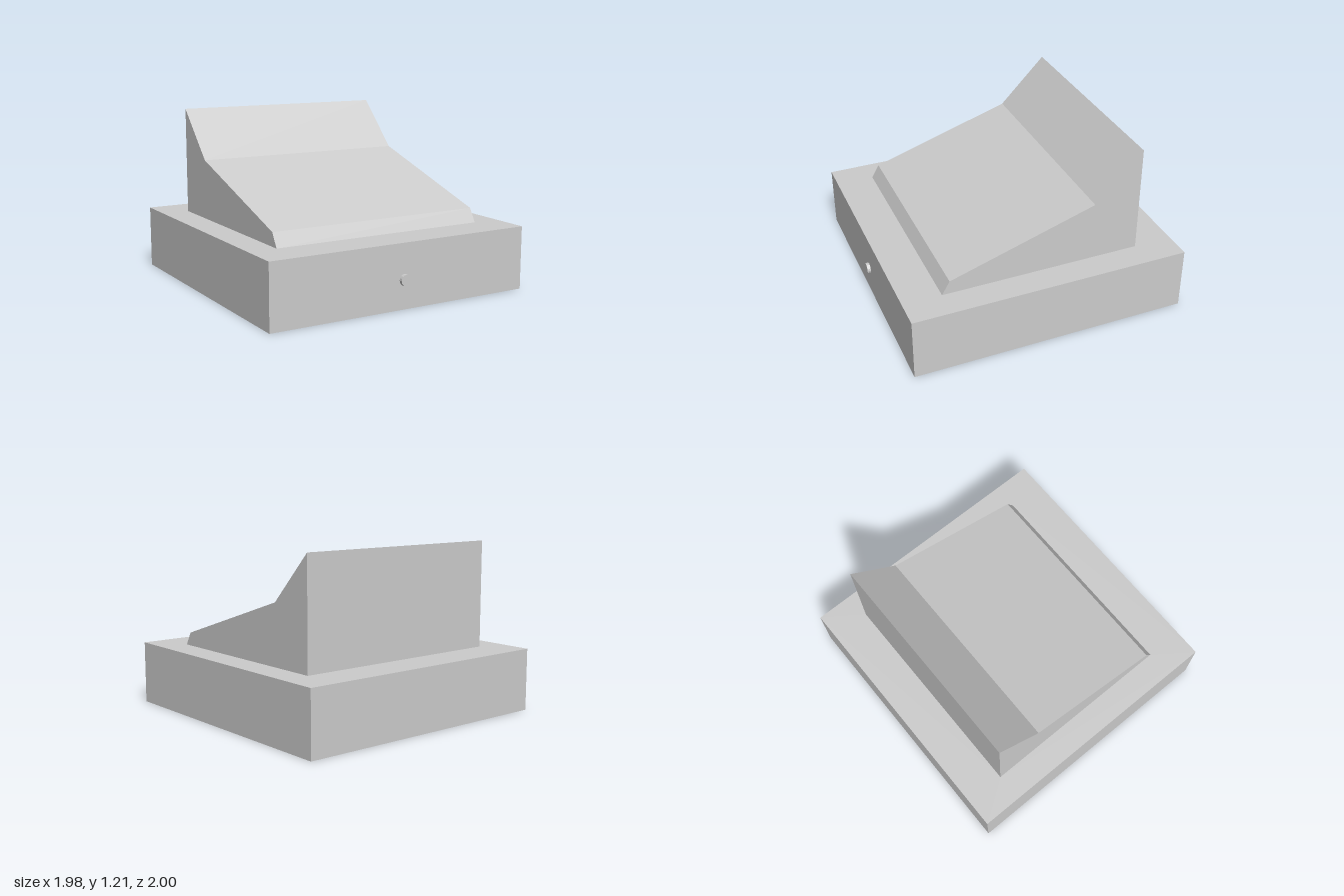
import * as THREE from 'three';

const HALF_X = 0.988, BACK = -1, FRONT = 0.976, BASE_H = 0.447;
const WEDGE_X = 0.792, WEDGE_BACK = -0.722, WEDGE_FRONT = 0.703;

const material = new THREE.MeshStandardMaterial({
  color: 0xcccccc, flatShading: true, side: THREE.DoubleSide,
});

function part(name, geometry) {
  const mesh = new THREE.Mesh(geometry, material);
  mesh.name = name;
  return mesh;
}

// Opens a solid by removing the level triangles at the given heights
function openAt(geometry, heights) {
  const source = geometry.index ? geometry.toNonIndexed() : geometry;
  const pos = source.attributes.position;
  const kept = [];
  for (let i = 0; i < pos.count; i += 3) {
    const flat = heights.some((h) =>
      [0, 1, 2].every((k) => Math.abs(pos.getY(i + k) - h) < 1e-4));
    if (!flat) kept.push(i, i + 1, i + 2);
  }
  source.clearGroups();
  source.setIndex(kept);
  return source.toNonIndexed();
}

function rectangle(target, x, y0, y1) {
  target.moveTo(-x, y0).lineTo(x, y0).lineTo(x, y1).lineTo(-x, y1).closePath();
  return target;
}

// Flat plate with a wedge-sized opening; facing is 1 for up, -1 for down
function framePlate(facing, y) {
  const s = -facing;
  const shape = rectangle(new THREE.Shape(), HALF_X, s * BACK, s * FRONT);
  shape.holes.push(rectangle(new THREE.Path(), WEDGE_X, s * WEDGE_BACK, s * WEDGE_FRONT));
  return new THREE.ShapeGeometry(shape).rotateX(s * Math.PI / 2).translate(0, y, 0);
}

export function createModel() {
  const model = new THREE.Group();
  model.name = 'wedgeConsole';

  // Hollow base: thin walls with open-centred plates above and below
  const base = new THREE.Group();
  base.name = 'base';
  const walls = new THREE.BoxGeometry(HALF_X * 2, BASE_H, FRONT - BACK)
    .translate(0, BASE_H / 2, (FRONT + BACK) / 2);
  base.add(
    part('baseWalls', openAt(walls, [0, BASE_H])),
    part('baseTop', framePlate(1, BASE_H)),
    part('baseBottom', framePlate(-1, 0)),
  );

  // Hollow sloped housing, profile in (z, y), open underneath
  const profile = new THREE.Shape([
    [WEDGE_BACK, BASE_H], [WEDGE_FRONT, BASE_H], [0.648, 0.542],
    [-0.387, 0.872], [WEDGE_BACK, 1.214],
  ].map(([z, y]) => new THREE.Vector2(z, y)));
  const housing = new THREE.ExtrudeGeometry(profile, { depth: WEDGE_X * 2, bevelEnabled: false })
    .rotateY(-Math.PI / 2)
    .translate(WEDGE_X, 0, 0);

  // Small round button on the front wall
  const button = new THREE.CylinderGeometry(0.04, 0.04, 1 - FRONT + 0.004, 16)
    .rotateX(Math.PI / 2)
    .translate(0, 0.2, (1 + FRONT - 0.004) / 2);

  model.add(base, part('slopedHousing', openAt(housing, [BASE_H])), part('frontButton', button));
  return model;
}
